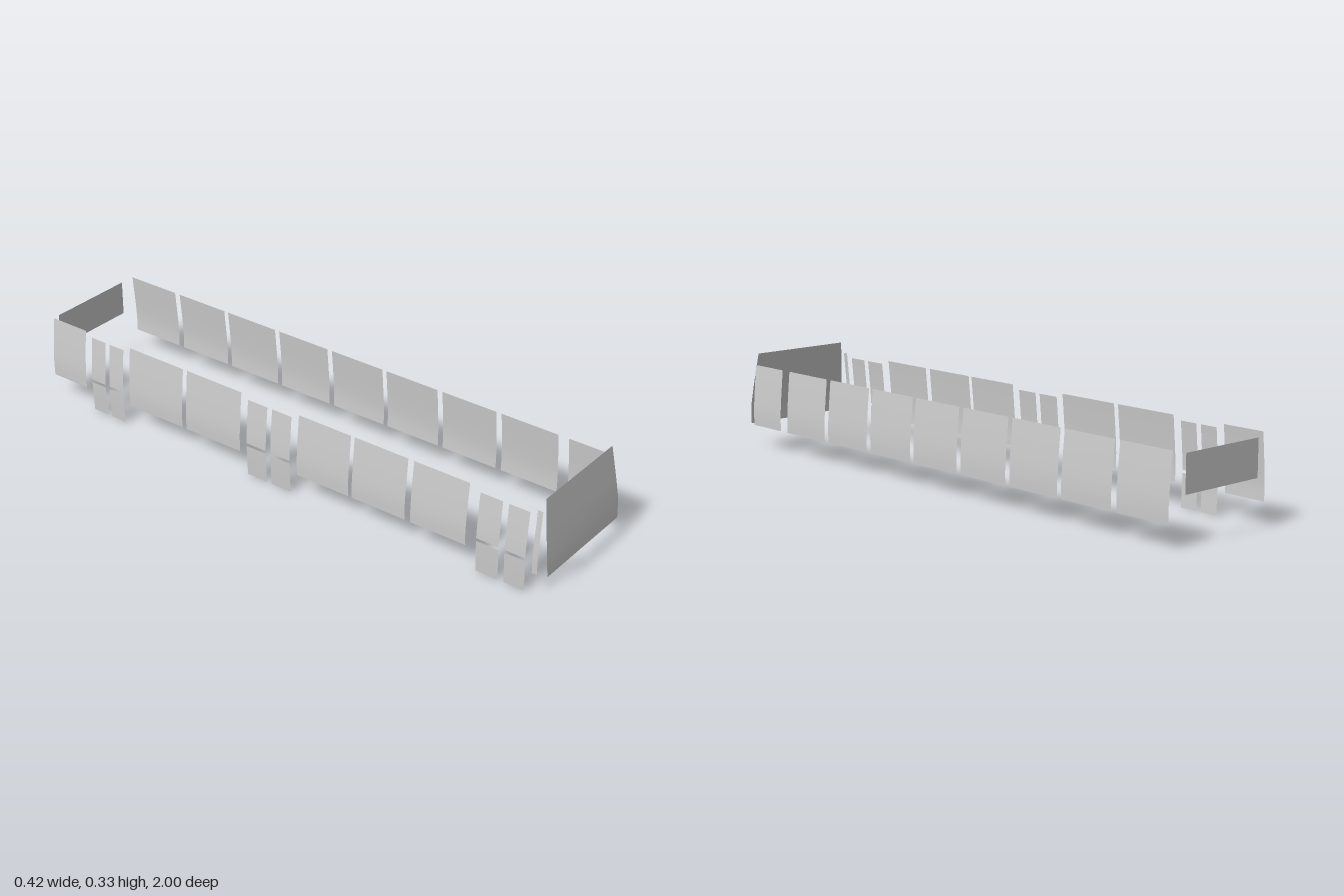
import * as THREE from 'three';

const glass = new THREE.MeshStandardMaterial({ color: 0xcccccc, side: THREE.DoubleSide });
glass.name = 'glassGrey';

// Bulging side section: [height, half width]
const section = [[0, 0.206], [0.075, 0.2095], [0.12, 0.2105], [0.16, 0.2085], [0.22, 0.2035], [0.288, 0.197]];
const sectionCurve = new THREE.SplineCurve(section.map(([y, x]) => new THREE.Vector2(y, x)));
const sectionPoints = sectionCurve.getPoints(60);

function halfWidth(y) {
  const i = Math.max(1, sectionPoints.findIndex((p) => p.x >= y));
  const a = sectionPoints[i - 1], b = sectionPoints[i];
  return THREE.MathUtils.lerp(a.y, b.y, (y - a.x) / (b.x - a.x));
}

// Thin sheet through rows of [start point, end point], listed from bottom to top
function sheet(name, rows) {
  const positions = rows.flat(2);
  const index = [];
  for (let i = 0; i < rows.length - 1; i++) {
    const a = 2 * i;
    index.push(a, a + 1, a + 3, a, a + 3, a + 2);
  }
  const geometry = new THREE.BufferGeometry();
  geometry.setAttribute('position', new THREE.Float32BufferAttribute(positions, 3));
  geometry.setIndex(index);
  geometry.computeVertexNormals();
  const mesh = new THREE.Mesh(geometry, glass);
  mesh.name = name;
  return mesh;
}

// Curved pane on one side (+1 or -1), from z0 (front) to z1 (rear)
function sidePane(name, side, z0, z1, y0, y1, offset = 0) {
  const steps = 8;
  const rows = [];
  for (let i = 0; i <= steps; i++) {
    const y = THREE.MathUtils.lerp(y0, y1, i / steps);
    const x = side * (halfWidth(y) + offset);
    const ends = [[x, y, z0], [x, y, z1]];
    rows.push(side > 0 ? ends : ends.reverse());
  }
  return sheet(name, rows);
}

export function createModel() {
  const model = new THREE.Group();
  model.name = 'busGlazing';

  // Unbroken window row
  const leftWindows = [
    [0.97, 0.815], [0.777, 0.57], [0.55, 0.346], [0.327, 0.126], [0.11, -0.096],
    [-0.115, -0.319], [-0.337, -0.543], [-0.56, -0.763], [-0.784, -0.985],
  ];
  for (const [a, b] of leftWindows) model.add(sidePane('leftWindow', 1, a, b, 0.075, 0.288));

  // Windows between the doors
  const rightWindows = [
    [0.97, 0.952], [0.717, 0.516], [0.495, 0.294], [0.28, 0.077],
    [-0.156, -0.385], [-0.402, -0.635], [-0.835, -0.985],
  ];
  for (const [a, b] of rightWindows) model.add(sidePane('rightWindow', -1, a, b, 0.075, 0.288));

  // Double doors, each leaf with an upper and a lower pane
  const doorLeaves = [
    [0.929, 0.857], [0.836, 0.757], [0.05, -0.028],
    [-0.047, -0.126], [-0.662, -0.724], [-0.742, -0.804],
  ];
  for (const [a, b] of doorLeaves) {
    const leaf = new THREE.Group();
    leaf.name = 'doorLeaf';
    leaf.add(sidePane('upperDoorPane', -1, a, b, 0.118, 0.273, 0.002));
    leaf.add(sidePane('lowerDoorPane', -1, a, b, 0, 0.108, 0.002));
    model.add(leaf);
  }

  // Sloping windscreen: [height, half width, z]
  const screen = [[0.075, 0.2, 1], [0.14, 0.203, 0.996], [0.22, 0.1965, 0.985], [0.327, 0.185, 0.97]];
  model.add(sheet('windscreen', screen.map(([y, w, z]) => [[-w, y, z], [w, y, z]])));

  // Upright rear window
  model.add(sheet('rearWindow', [0.157, 0.278].map((y) => [[0.158, y, -1], [-0.158, y, -1]])));

  return model;
}
